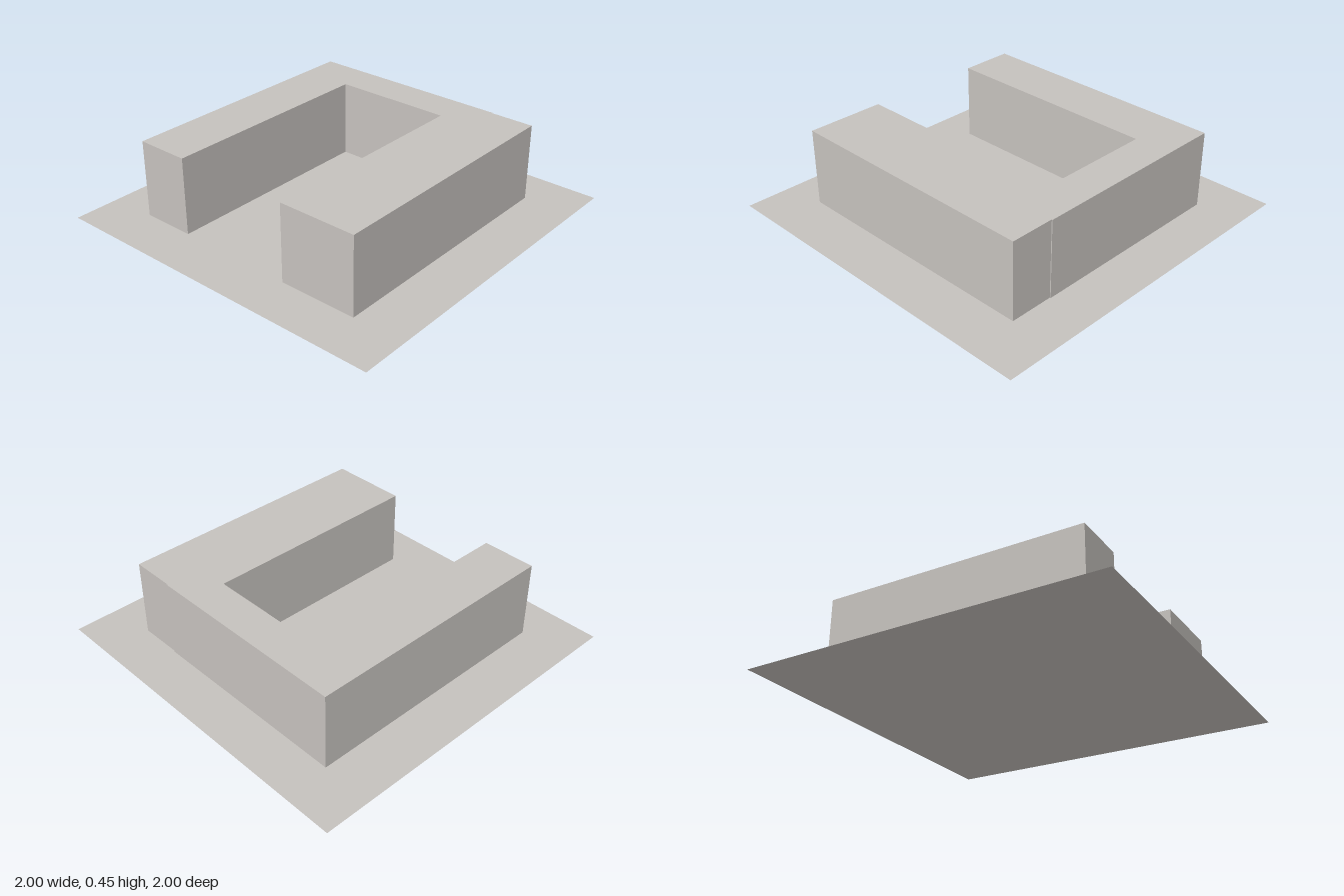
import * as THREE from 'three';

export function createModel() {
  const model = new THREE.Group();
  const stone = new THREE.MeshStandardMaterial({ color: 0xc5c1bd });
  stone.name = 'warm grey';
  const ground = stone.clone();
  ground.name = 'warm grey sheet';
  ground.side = THREE.DoubleSide;

  // Flat square site sheet
  const site = new THREE.Mesh(new THREE.PlaneGeometry(2, 2).rotateX(-Math.PI / 2), ground);
  site.name = 'sitePlate';
  model.add(site);

  // U-shaped block, courtyard open towards -x; outline given as [x, z]
  const outline = [
    [-0.745, 0.715], [0.735, 0.715], [0.735, 0.465], [0.74, 0.465], [0.74, -0.715],
    [-0.74, -0.715], [-0.74, -0.41], [0.525, -0.41], [0.525, 0.27], [-0.745, 0.27],
  ];
  const shape = new THREE.Shape(outline.map(([x, z]) => new THREE.Vector2(x, -z)));
  const geometry = new THREE.ExtrudeGeometry(shape, { depth: 0.44, bevelEnabled: false });
  geometry.rotateX(-Math.PI / 2).translate(0, 0.01, 0);
  const block = new THREE.Mesh(geometry, stone);
  block.name = 'courtyardBuilding';
  model.add(block);

  return model;
}
